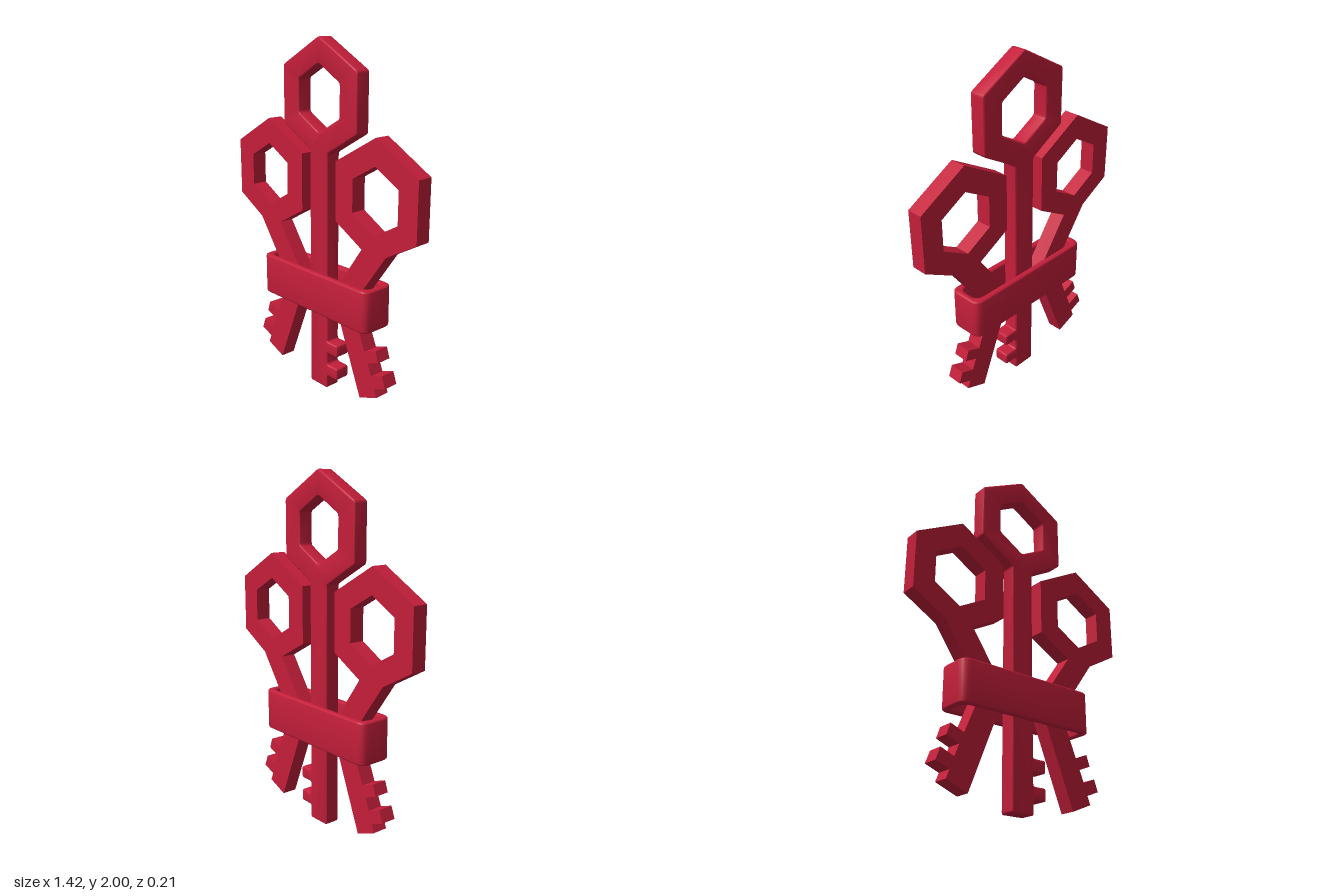
import * as THREE from 'three';
import { toCreasedNormals } from 'three/addons/utils/BufferGeometryUtils.js';

const DEPTH = 0.09;

// Trace a closed outline, rounding each corner by up to r
function trace(path, pts, r) {
  const v = pts.map(([x, y]) => new THREE.Vector2(x, y));
  v.forEach((p, i) => {
    const prev = v[(i + v.length - 1) % v.length];
    const next = v[(i + 1) % v.length];
    const toward = (q) => p.clone().lerp(q, r / p.distanceTo(q));
    const a = toward(prev), b = toward(next);
    if (i === 0) path.moveTo(a.x, a.y); else path.lineTo(a.x, a.y);
    if (r > 0) path.quadraticCurveTo(p.x, p.y, b.x, b.y);
  });
  path.closePath();
  return path;
}

// Plate with a hole, centred on z = 0, with optional rounded edges
function plate(outline, hole, depth, r, bevel, segments = 3) {
  const shape = trace(new THREE.Shape(), outline, r);
  shape.holes.push(trace(new THREE.Path(), hole, r));
  const geo = new THREE.ExtrudeGeometry(shape, {
    depth: depth - 2 * bevel, curveSegments: segments,
    bevelEnabled: bevel > 0, bevelSize: bevel, bevelThickness: bevel,
    bevelOffset: -bevel, bevelSegments: 3,
  });
  geo.translate(0, 0, -depth / 2 + bevel);
  return toCreasedNormals(geo, 0.6);
}

// Pointed-top hexagon
function hexagon(cx, cy, w, h) {
  return [[0, h], [-w, h / 2], [-w, -h / 2], [0, -h], [w, -h / 2], [w, h / 2]]
    .map(([x, y]) => [cx + x, cy + y]);
}

function rectangle(w, h) {
  return [[-w, -h], [w, -h], [w, h], [-w, h]];
}

export function createModel() {
  const group = new THREE.Group();
  const red = new THREE.MeshStandardMaterial({ color: 0xc41e3a });
  red.name = 'crimson';
  const add = (name, geo) => {
    const mesh = new THREE.Mesh(geo, red);
    mesh.name = name;
    group.add(mesh);
    return mesh;
  };

  // Upright key: hexagonal bow, straight shaft, two square teeth
  const centre = [
    [0, 2], [-0.288, 1.84], [-0.288, 1.52], [-0.07, 1.393], [-0.07, 0.003], [0.07, 0.003],
    [0.07, 0.08], [0.153, 0.08], [0.153, 0.15], [0.07, 0.15],
    [0.07, 0.225], [0.153, 0.225], [0.153, 0.295], [0.07, 0.295],
    [0.07, 1.393], [0.288, 1.52], [0.288, 1.84],
  ];
  centre[4][1] = centre[5][1] = 0;
  add('centreKey', plate(centre, hexagon(0, 1.68, 0.16, 0.182), DEPTH, 0.013, 0.008));

  // Side keys: shaft bends inside the band, teeth point outward
  const side = [
    [0.425, 1.528], [0.137, 1.365], [0.137, 1.037], [0.338, 0.925],
    [0.118, 0.611], [0.17, 0.48], [0.34, 0.055], [0.468, 0.106],
    [0.449, 0.153], [0.53, 0.185], [0.505, 0.252], [0.425, 0.22],
    [0.398, 0.287], [0.475, 0.318], [0.453, 0.38], [0.372, 0.348],
    [0.272, 0.588], [0.512, 0.925], [0.711, 1.037], [0.711, 1.365],
  ];
  const flip = (pts) => pts.map(([x, y]) => [-x, y]).reverse();
  const hole = hexagon(0.425, 1.201, 0.16, 0.182);
  add('leftKey', plate(side, hole, DEPTH, 0, 0));
  add('rightKey', plate(flip(side), flip(hole), DEPTH, 0, 0));

  // Hollow band holding the keys together
  const band = plate(rectangle(0.43, 0.103), rectangle(0.394, 0.066), 0.24, 0.05, 0.012, 5);
  band.rotateX(-Math.PI / 2);
  add('band', band).position.y = 0.6;

  return group;
}
